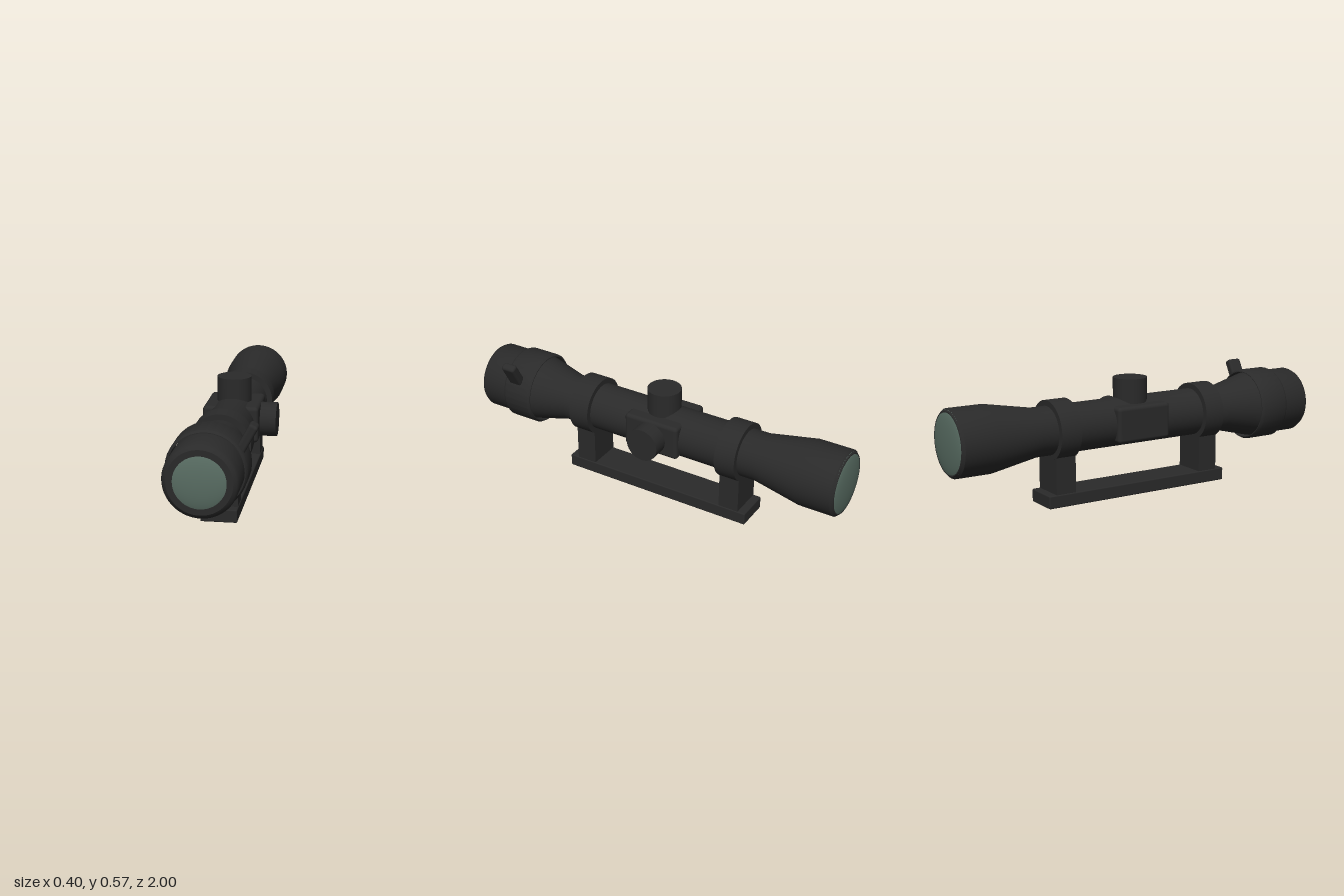
import * as THREE from 'three';
import { toCreasedNormals } from 'three/addons/utils/BufferGeometryUtils.js';
import { RoundedBoxGeometry } from 'three/addons/geometries/RoundedBoxGeometry.js';

const AXIS_X = -0.02, AXIS_Y = 0.358; // optical axis, running along z

export function createModel() {
  const model = new THREE.Group();
  model.name = 'rifleScope';

  const black = new THREE.MeshStandardMaterial({ color: 0x2a2a2a });
  black.name = 'matte black';
  const glass = new THREE.MeshStandardMaterial({ color: 0x586c62 });
  glass.name = 'green glass';

  function add(name, geometry, x, y, z, material = black) {
    const mesh = new THREE.Mesh(geometry, material);
    mesh.name = name;
    mesh.position.set(x, y, z);
    model.add(mesh);
    return mesh;
  }

  // Solid of revolution about the optical axis; profile is [z, radius] with z rising
  function turned(name, profile, segments) {
    const points = profile.map(([z, r]) => new THREE.Vector2(r, z));
    const geometry = new THREE.LatheGeometry(points, segments).rotateX(Math.PI / 2);
    return add(name, toCreasedNormals(geometry, 0.6), AXIS_X, AXIS_Y, 0);
  }

  // Main tube with flared eyepiece (rear) and objective bell (front)
  turned('tube', [
    [-0.985, 0], [-0.985, 0.147], [-0.972, 0.16], [-0.8, 0.16], [-0.56, 0.117],
    [0.51, 0.117], [0.67, 0.157], [0.7, 0.164], [0.96, 0.164], [0.975, 0.156],
    [0.985, 0.142], [0.985, 0],
  ], 64);

  // Hollow focus collar, standing just clear of the bell
  turned('focusCollar', [
    [0.67, 0.168], [0.67, 0.172], [0.682, 0.18], [0.818, 0.18], [0.83, 0.172],
    [0.83, 0.168], [0.67, 0.168],
  ], 32);

  // Domed lenses
  const lens = (name, radius, depth, z) =>
    add(name, new THREE.SphereGeometry(radius, 48, 32).scale(1, 1, depth / radius),
      AXIS_X, AXIS_Y, z, glass);
  lens('frontLens', 0.14, 0.035, 0.965);
  lens('rearLens', 0.155, 0.025, -0.975);

  // Focus lever leaning out from the collar
  const lever = add('focusLever', new RoundedBoxGeometry(0.042, 0.2, 0.075, 3, 0.013),
    0.135, 0.468, 0.763);
  lever.rotation.z = -0.5;

  // Mount rings and their posts
  for (const [side, z] of [['front', 0.392], ['rear', -0.428]]) {
    turned(side + 'MountRing', [
      [z - 0.053, 0.11], [z - 0.053, 0.144], [z + 0.053, 0.144], [z + 0.053, 0.11],
    ], 48);
    add(side + 'MountPost', new THREE.BoxGeometry(0.165, 0.2, 0.104), AXIS_X, 0.15, z);
  }

  // Base rail
  add('baseRail', new RoundedBoxGeometry(0.172, 0.063, 1.01, 2, 0.006), AXIS_X, 0.0315, -0.015);

  // Turret housing with top and side adjustment knobs
  add('turretHousing', new RoundedBoxGeometry(0.268, 0.175, 0.292, 4, 0.018), AXIS_X, 0.3625, -0.02);
  const knob = (length) => new THREE.CylinderGeometry(0.083, 0.083, length, 48);
  add('topKnob', knob(0.17), AXIS_X, 0.485, -0.02);
  add('sideKnob', knob(0.14).rotateZ(Math.PI / 2), 0.122, AXIS_Y, -0.02);

  return model;
}
